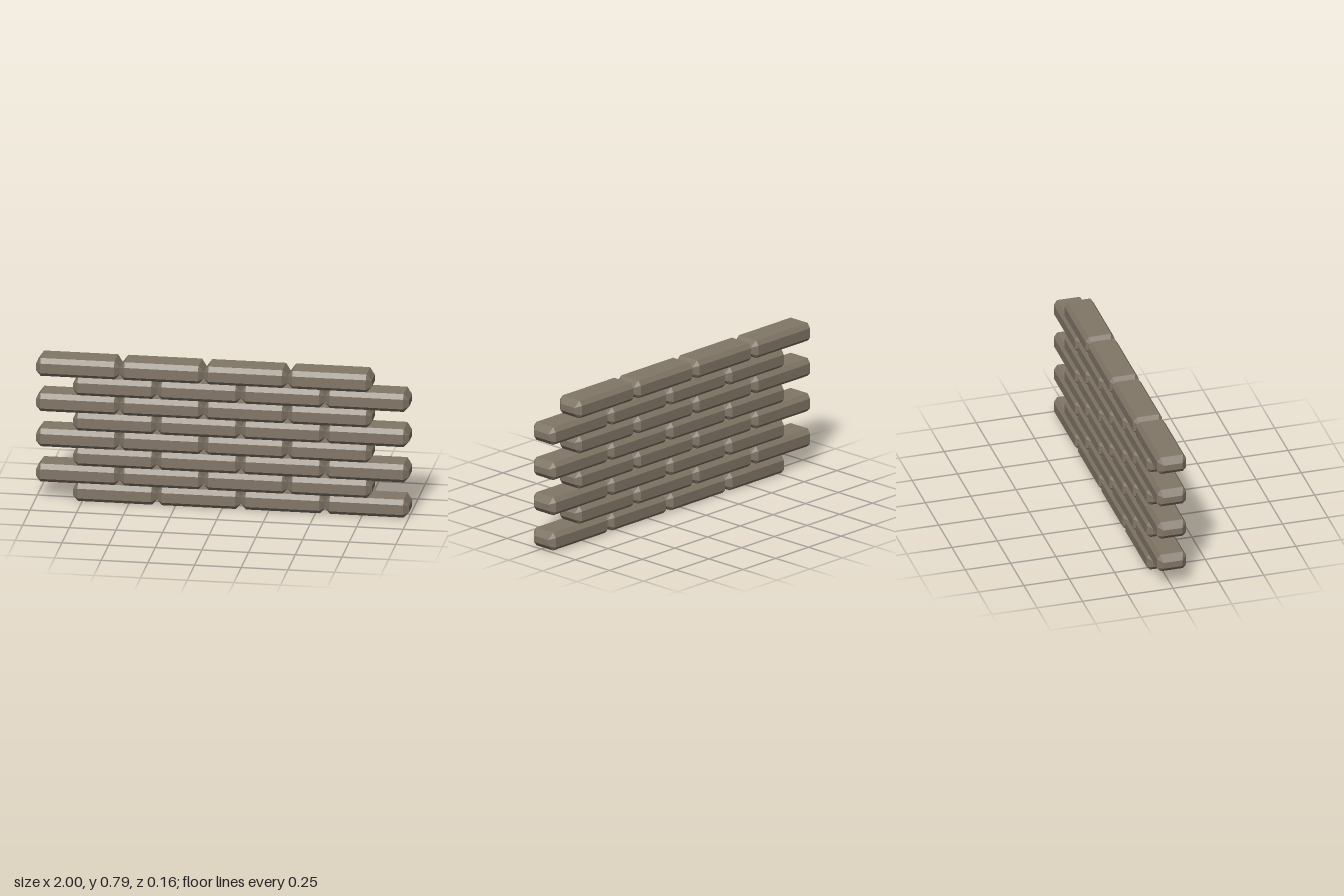
import * as THREE from 'three';
import { ConvexGeometry } from 'three/addons/geometries/ConvexGeometry.js';

// Chamfered brick: inset top, bottom, side and end faces joined by bevels
function brickGeometry() {
  const points = [];
  for (const sx of [-1, 1]) {
    for (const sz of [-1, 1]) {
      const add = (x, y, z) => points.push(new THREE.Vector3(sx * x, y, sz * z));
      add(0.198, 0, 0.061);      // bottom face
      add(0.198, 0.1, 0.062);    // top face
      add(0.197, 0.02, 0.08);    // long side, lower edge
      add(0.197, 0.074, 0.08);   // long side, upper edge
      add(0.225, 0.028, 0.052);  // end face, lower edge
      add(0.225, 0.063, 0.052);  // end face, upper edge
    }
  }
  return new ConvexGeometry(points);
}

export function createModel() {
  const wall = new THREE.Group();
  wall.name = 'brickWall';
  const stone = new THREE.MeshStandardMaterial({ color: 0x827767 });
  stone.name = 'brown stone';
  const geometry = brickGeometry();

  const rows = 8, bricksPerRow = 4, length = 0.45, pitch = 0.0985;
  for (let r = 0; r < rows; r++) {
    const course = new THREE.Group();
    course.name = `course${r + 1}`;
    course.position.y = r * pitch;
    // Alternate courses are shifted to make the running bond
    const start = r % 2 === 0 ? -0.8 : -1;
    for (let i = 0; i < bricksPerRow; i++) {
      const brick = new THREE.Mesh(geometry, stone);
      brick.name = `brick${i + 1}`;
      brick.position.x = start + (i + 0.5) * length;
      course.add(brick);
    }
    wall.add(course);
  }
  return wall;
}
